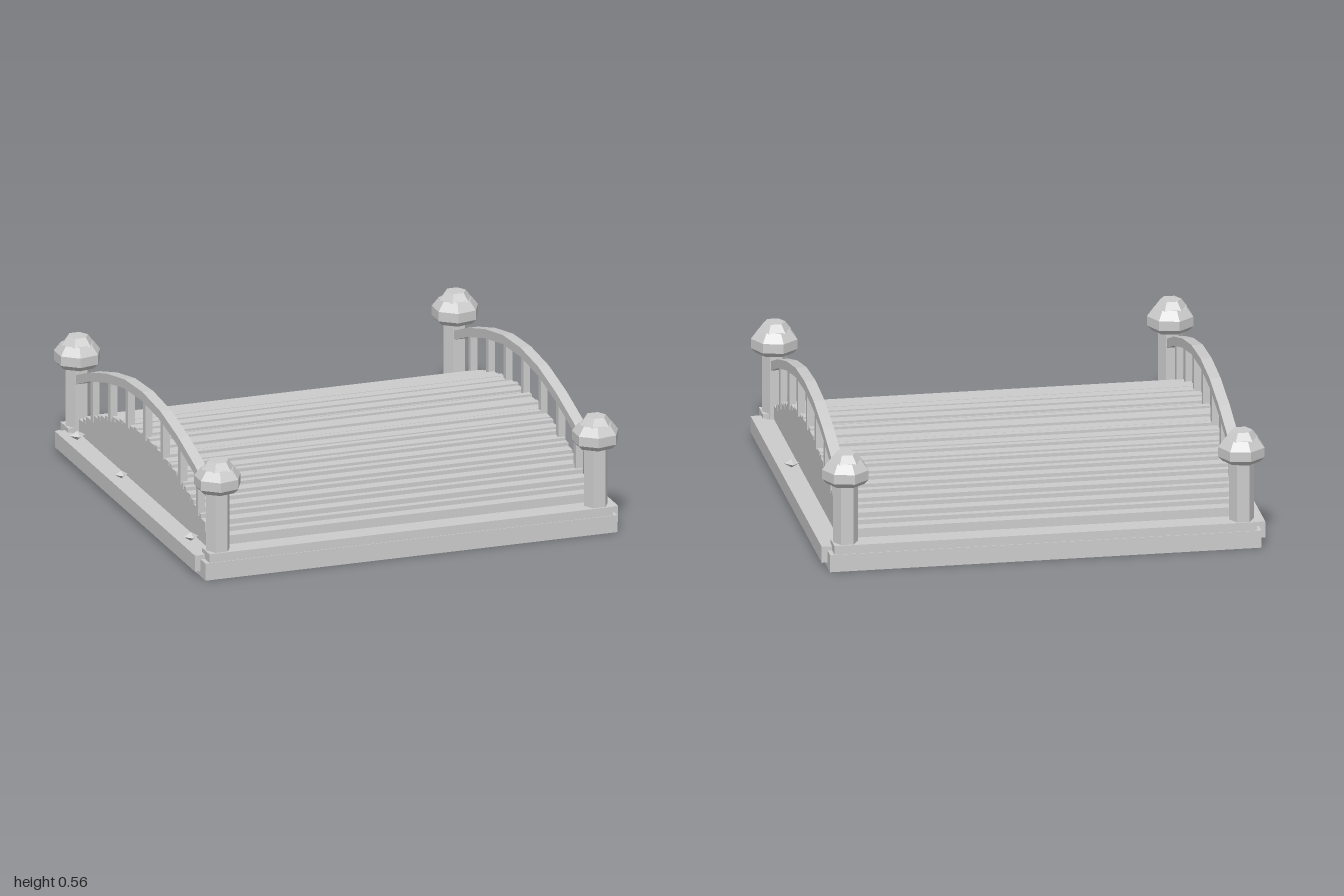
import * as THREE from 'three';

const stone = new THREE.MeshStandardMaterial({ color: 0xcccccc });
stone.name = 'light grey';

export function createModel() {
  const group = new THREE.Group();
  group.name = 'archedBridge';

  const add = (name, geo, x = 0, y = 0, z = 0) => {
    const mesh = new THREE.Mesh(geo, stone);
    mesh.name = name;
    mesh.position.set(x, y, z);
    group.add(mesh);
    return mesh;
  };
  // box given by its centre in x and z and its bottom and top in y
  const block = (name, w, y0, y1, d, x = 0, z = 0) =>
    add(name, new THREE.BoxGeometry(w, y1 - y0, d), x, (y0 + y1) / 2, z);
  // faceted prism, corner pointing along x
  const prism = (rTop, rBottom, h, sides) => {
    const g = new THREE.CylinderGeometry(rTop, rBottom, h, sides);
    g.rotateY(Math.PI / 2);
    const flat = g.toNonIndexed();
    flat.computeVertexNormals();
    return flat;
  };
  const deckHeight = z => 0.35 - 0.19 * (z / 0.82) ** 2;

  // base
  block('baseSlab', 1.94, 0, 0.08, 1.935);
  block('baseTop', 1.89, 0.05, 0.095, 1.8);
  for (const s of [-1, 1]) {
    block('sideBeam', 0.06, 0.025, 0.1, 1.81, s * 0.967);
    block('endBeam', 1.9, 0.01, 0.12, 0.1, 0, s * 0.914);
  }

  // stepped deck with a narrow batten at the foot of every riser
  const pitch = 0.0945, start = 0.014;
  block('crownPlank', 1.8, 0.06, 0.347, start * 2);
  for (let k = 0; k < 9; k++) {
    const edge = start + k * pitch;
    for (const s of [-1, 1]) {
      const mid = edge + pitch / 2;
      block('deckPlank', 1.8, 0.06, deckHeight(mid), pitch, 0, s * mid);
      const zb = edge + 0.024;
      block('deckBatten', 1.8, 0.1, deckHeight(zb) + 0.01, 0.03, 0, s * zb);
    }
  }

  // curved handrail outline: z along, y up
  const half = [[0.865, 0.365], [0.68, 0.438], [0.46, 0.503], [0.23, 0.55]];
  const top = [...half, [0, 0.565], ...half.map(([z, y]) => [-z, y]).reverse()];
  const outline = [...top, ...top.map(([z, y]) => [z, y - 0.043]).reverse()];
  const railShape = new THREE.Shape(outline.map(p => new THREE.Vector2(...p)));
  const railGeo = new THREE.ExtrudeGeometry(railShape, { depth: 0.05, bevelEnabled: false });
  railGeo.translate(0, 0, -0.025);
  railGeo.rotateY(-Math.PI / 2);

  for (const sx of [-1, 1]) {
    const x = sx * 0.89;
    add('handrail', railGeo, x);
    for (let i = -3; i <= 3; i++) {
      const z = i * 0.227;
      const railY = 0.565 - 0.2 * (z / 0.865) ** 2;
      block('baluster', 0.032, deckHeight(z) - 0.01, railY - 0.025, 0.032, x, z);
    }
    // corner posts with faceted caps
    for (const sz of [-1, 1]) {
      const z = sz * 0.907;
      add('post', prism(0.056, 0.056, 0.35, 6), x, 0.245, z);
      add('capUnderside', prism(0.106, 0.085, 0.022, 7), x, 0.407, z);
      add('capBand', prism(0.106, 0.106, 0.044, 7), x, 0.44, z);
      add('capSlope', prism(0.075, 0.106, 0.04, 7), x, 0.482, z);
      add('capTop', prism(0.048, 0.076, 0.037, 6), x, 0.517, z);
    }
  }

  // small pointed stones on the side ledges
  for (const [x, z, r] of [[0.94, 0.18, 0.034], [-0.945, -0.76, 0.036],
    [-0.945, -0.19, 0.03], [-0.945, 0.71, 0.034]]) {
    add('ledgeStone', new THREE.OctahedronGeometry(r), x, 0.122, z).scale.y = 0.6;
  }
  return group;
}
